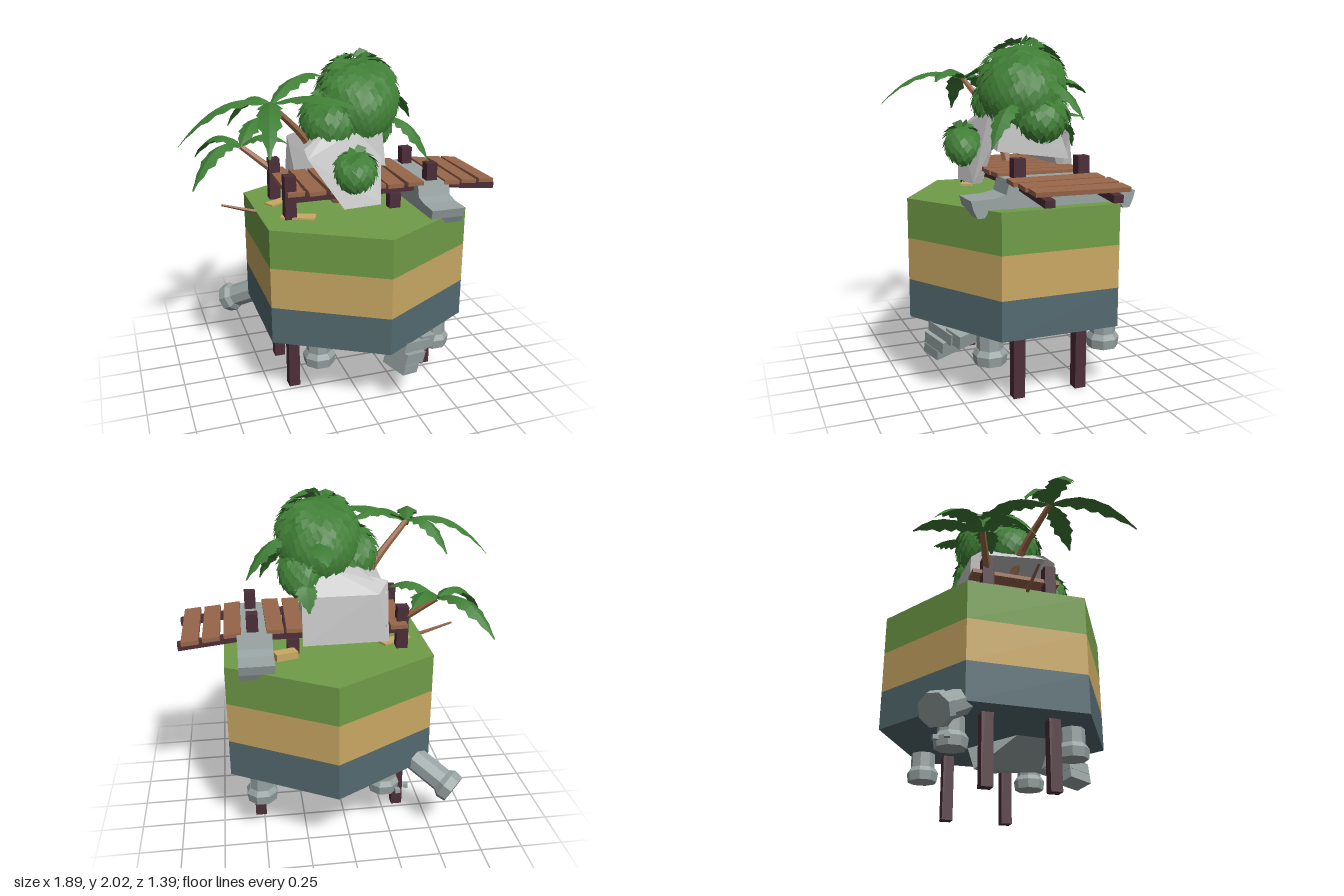
import * as THREE from 'three';
import { ConvexGeometry } from 'three/addons/geometries/ConvexGeometry.js';
import { mergeGeometries } from 'three/addons/utils/BufferGeometryUtils.js';

const mat = (name, color, side = THREE.FrontSide) => {
  const m = new THREE.MeshStandardMaterial({ color, side, flatShading: true });
  m.name = name;
  return m;
};
const V = (x, y, z) => new THREE.Vector3(x, y, z);

export function createModel() {
  const M = {
    grass: mat('grass', 0x709c47), sand: mat('sand', 0xc9a863), slate: mat('slate', 0x546a70),
    stone: mat('stone', 0x98a4a3), pale: mat('pale rock', 0xc6c6c6), plank: mat('plank wood', 0x98664a),
    post: mat('dark wood', 0x4c2e38), trunk: mat('trunk wood', 0x9a6848),
    leaf: mat('leaf', 0x3f7d35, THREE.DoubleSide),
  };
  const root = new THREE.Group();
  root.name = 'floatingIsland';
  let seed = 7;
  const rnd = () => (seed = (seed * 16807) % 2147483647) / 2147483647;

  const add = (name, geo, m, x = 0, y = 0, z = 0) => {
    const mesh = new THREE.Mesh(geo, m);
    mesh.name = name;
    mesh.position.set(x, y, z);
    root.add(mesh);
    return mesh;
  };
  const box = (name, m, w, h, d, x, y, z) => add(name, new THREE.BoxGeometry(w, h, d), m, x, y, z);
  const hull = (name, m, pts) => add(name, new ConvexGeometry(pts.map((p) => V(...p))), m);
  // tapered round bar along a smooth path
  const bar = (name, m, pts, r0, r1, sides = 6) => {
    const n = 10, geo = new THREE.TubeGeometry(new THREE.CatmullRomCurve3(pts), n, 1, sides);
    const path = geo.parameters.path, p = geo.attributes.position, v = V(0, 0, 0);
    for (let i = 0; i < p.count; i++) {
      const t = Math.floor(i / (sides + 1)) / n, c = path.getPointAt(t);
      v.fromBufferAttribute(p, i).sub(c).multiplyScalar(r0 + (r1 - r0) * t).add(c);
      p.setXYZ(i, v.x, v.y, v.z);
    }
    return add(name, geo, m);
  };

  // layered hexagonal island
  for (const [name, m, y0, y1] of [['rockLayer', M.slate, 0.4, 0.625], ['sandLayer', M.sand, 0.625, 0.87], ['grassLayer', M.grass, 0.87, 1.1]])
    add(name, new THREE.CylinderGeometry(0.693, 0.693, y1 - y0, 6), m, 0.09, (y0 + y1) / 2, 0);

  // posts and walkway beams
  for (const z of [-0.19, 0.19]) {
    for (const x of [-0.35, 0.52]) box('post', M.post, 0.067, 1.355, 0.067, x, 0.6775, z);
    box('shortPost', M.post, 0.07, 0.1, 0.06, 0.29, 1.14, z);
    box('beam', M.post, 0.88, 0.04, 0.05, 0.08, 1.215, z);
    box('rampBeam', M.post, 0.43, 0.04, 0.055, 0.73, 1.2, z).rotation.z = -0.11;
  }
  // planks
  for (let i = 0; i < 11; i++) {
    const x = -0.32 + i * 0.119, ramp = Math.max(0, x - 0.5);
    if (i === 7) continue;
    const p = box('plank', M.plank, 0.098, 0.024, 0.53, x, 1.256 - ramp * 0.085, (rnd() - 0.5) * 0.03);
    p.rotation.set((rnd() - 0.5) * 0.02, (rnd() - 0.5) * 0.05, ramp ? -0.1 : (rnd() - 0.5) * 0.06);
  }

  // stone steps crossing below the planks
  const half = [[0.27, 1.25], [0.29, 1.175], [0.36, 1.16], [0.485, 1.155], [0.47, 1.1], [0.45, 1.06], [0.41, 1.06], [0.39, 1.09]];
  const outline = [...half, ...half.map(([a, b]) => [-a, b]).reverse()].map(([a, b]) => new THREE.Vector2(a, b));
  const steps = new THREE.ExtrudeGeometry(new THREE.Shape(outline), { depth: 0.2, bevelEnabled: false });
  add('stoneSteps', steps.rotateY(Math.PI / 2), M.stone, 0.41, 0, 0);

  // pale rock arch: two legs and a crown
  hull('archFrontLeg', M.pale, [[-0.26, 1.5, 0.2], [-0.09, 1.61, 0.14], [0.05, 1.58, 0.18], [-0.07, 1.17, 0.34], [0.16, 1.17, 0.32],
    [-0.26, 1.46, 0.27], [-0.06, 1.17, 0.28], [0.2, 1.42, 0.2], [0.14, 1.17, 0.26]]);
  hull('archBackLeg', M.pale, [[-0.27, 1.5, -0.15], [-0.26, 1.17, -0.27], [-0.2, 1.17, -0.2], [0.24, 1.17, -0.28], [0.24, 1.45, -0.25],
    [0.2, 1.17, -0.21], [0.1, 1.6, -0.15], [-0.2, 1.45, -0.25]]);
  hull('archCrown', M.pale, [[-0.26, 1.48, 0.22], [-0.26, 1.44, -0.2], [-0.1, 1.61, 0.12], [-0.1, 1.58, -0.15], [0.22, 1.6, 0.15],
    [0.22, 1.6, -0.15], [0.23, 1.36, 0.2], [0.24, 1.3, -0.25], [0, 1.4, 0]]);

  // leafy bushes: faceted core with overlapping drooping leaves
  const bush = (name, c, r, count) => {
    add(name + 'Core', new THREE.IcosahedronGeometry(1, 2).scale(r.x * 0.93, r.y * 0.93, r.z * 0.93), M.leaf, c.x, c.y, c.z);
    const leaves = [];
    for (let i = 0; i < count; i++) {
      const ny = 1 - (2 * (i + 0.5)) / count, a = i * 2.39996, q = Math.sqrt(1 - ny * ny);
      const n = V(Math.cos(a) * q, ny, Math.sin(a) * q);
      const side = V(-n.z, (rnd() - 0.5) * 0.6, n.x).normalize();
      const down = n.clone().cross(side).normalize();
      if (down.y > 0) down.negate();
      const s = 0.035 + rnd() * 0.012, o = n.clone().multiply(r);
      const at = (d, w, h) => o.clone().addScaledVector(down, d * s).addScaledVector(side, w * s).addScaledVector(n, h * s).toArray();
      const A = at(-0.9, 0, -0.25), B = at(0, 0.8, 0.1), C = at(1.1, 0, 0.45), D = at(0, -0.8, 0.1);
      const g = new THREE.BufferGeometry();
      g.setAttribute('position', new THREE.Float32BufferAttribute([A, B, C, A, C, D].flat(), 3));
      leaves.push(g);
    }
    const geo = mergeGeometries(leaves);
    geo.computeVertexNormals();
    add(name + 'Leaves', geo, M.leaf, c.x, c.y, c.z);
  };
  bush('crownBush', V(0.12, 1.73, 0), V(0.235, 0.25, 0.255), 420);
  bush('sideBush', V(-0.07, 1.63, 0.05), V(0.16, 0.15, 0.18), 170);
  bush('lowBush', V(0.23, 1.56, -0.08), V(0.12, 0.14, 0.16), 140);
  bush('smallBush', V(0, 1.39, 0.33), V(0.11, 0.11, 0.095), 110);

  // palm fronds: ridged blade with toothed edges along an arched spine
  const frond = (base, tip, lift, width = 0.062) => {
    const mid = base.clone().lerp(tip, 0.5);
    mid.y = Math.max(base.y, tip.y) + lift;
    const curve = new THREE.QuadraticBezierCurve3(base, mid, tip), pos = [], idx = [], n = 12;
    const side = tip.clone().sub(base).cross(V(0, 1, 0)).normalize();
    for (let i = 0; i <= n; i++) {
      const t = i / n, p = curve.getPoint(t);
      const w = width * Math.min(1, 0.25 + t * 2.4, (1 - t) * 2.6 + 0.08) * (i % 2 ? 0.82 : 1.1);
      for (const k of [-1, 0, 1]) pos.push(p.x + side.x * w * k, p.y - Math.abs(k) * w * 0.45, p.z + side.z * w * k);
      if (i < n) for (const k of [0, 1]) {
        const a = i * 3 + k;
        idx.push(a, a + 1, a + 3, a + 1, a + 4, a + 3);
      }
    }
    const g = new THREE.BufferGeometry();
    g.setAttribute('position', new THREE.Float32BufferAttribute(pos, 3));
    g.setIndex(idx);
    g.computeVertexNormals();
    add('frond', g, M.leaf);
  };
  const palm = (trunk, tips) => {
    bar('palmTrunk', M.trunk, trunk, 0.035, 0.017);
    const top = trunk[trunk.length - 1];
    for (const [x, y, z, lift] of tips) frond(top, V(x, y, z), lift);
  };
  palm([V(0, 1.1, 0), V(-0.2, 1.5, 0.06), V(-0.44, 1.76, 0.18)],
    [[-0.94, 1.55, 0.11, 0.12], [-0.57, 1.6, 0.69, 0.14], [0, 1.75, 0.49, 0.13], [-0.05, 1.84, -0.14, 0.12], [-0.64, 1.61, -0.05, 0.12]]);
  palm([V(0.02, 1.1, -0.04), V(-0.28, 1.23, -0.16), V(-0.53, 1.42, -0.27)],
    [[-0.77, 1.29, -0.6, 0.14], [-0.3, 1.5, -0.63, 0.1], [-0.86, 1.23, -0.07, 0.14], [-0.27, 1.45, -0.14, 0.12]]);
  // loose fronds hanging from the big bush
  for (const [a, b] of [[[0.28, 1.75, -0.05], [0.54, 1.55, -0.19]], [[0.28, 1.62, 0.1], [0.45, 1.4, 0.31]],
    [[0.15, 1.75, -0.2], [0.11, 1.68, -0.42]], [[0.22, 1.52, -0.2], [0.2, 1.37, -0.29]]]) frond(V(...a), V(...b), 0.05);

  // fallen stick and sand patches on the grass
  bar('stick', M.trunk, [V(-0.3, 1.04, 0), V(-0.5, 1.09, 0), V(-0.71, 1.155, 0)], 0.018, 0.007, 5);
  box('sandSlab', M.sand, 0.13, 0.045, 0.07, 0.34, 1.12, -0.27).rotation.y = 0.3;
  box('sandPatch', M.sand, 0.2, 0.014, 0.08, -0.3, 1.104, 0.2).rotation.y = -0.4;
  box('sandPatch', M.sand, 0.2, 0.014, 0.07, -0.33, 1.104, -0.1).rotation.y = 0.5;

  // broken octagonal columns below
  const column = (from, to) => {
    const g = new THREE.Group(), dir = to.clone().sub(from), len = dir.length();
    g.name = 'column';
    for (const [r0, r1, a, b] of [[0.075, 0.075, 0, len - 0.05], [0.078, 0.098, len - 0.085, len - 0.055], [0.098, 0.09, len - 0.055, len]]) {
      const m = new THREE.Mesh(new THREE.CylinderGeometry(r1, r0, b - a, 8).rotateY(Math.PI / 8), M.stone);
      m.name = 'columnSection';
      m.position.y = (a + b) / 2;
      g.add(m);
    }
    g.position.copy(from);
    g.quaternion.setFromUnitVectors(V(0, 1, 0), dir.normalize());
    root.add(g);
  };
  for (const x of [-0.23, 0.51]) for (const z of [-0.35, 0.35]) column(V(x, 0.42, z), V(x, 0.225, z));
  column(V(-0.4, 0.435, -0.34), V(-0.625, 0.29, -0.53));

  // hanging rubble
  hull('rockWedge', M.stone, [[-0.06, 0.41, 0.1], [0.3, 0.41, -0.12], [0.3, 0.41, 0.3], [0.14, 0.23, -0.12], [0.2, 0.23, 0], [0.16, 0.25, 0.3], [-0.04, 0.41, 0.3]]);
  for (const [x, y, z, w, h] of [[0.27, 0.36, 0.5, 0.2, 0.07], [0.25, 0.3, 0.53, 0.16, 0.07], [0.22, 0.24, 0.54, 0.12, 0.06], [0.36, 0.35, 0.45, 0.12, 0.08]])
    box('rubbleStep', M.stone, w, h, 0.17, x, y, z).rotation.set(0.1, 0.4, -0.25);
  for (const [x, z] of [[-0.3, -0.45], [-0.36, -0.4]]) box('pebble', M.stone, 0.03, 0.025, 0.03, x, 0.26, z).rotation.y = x * 5;

  return root;
}
